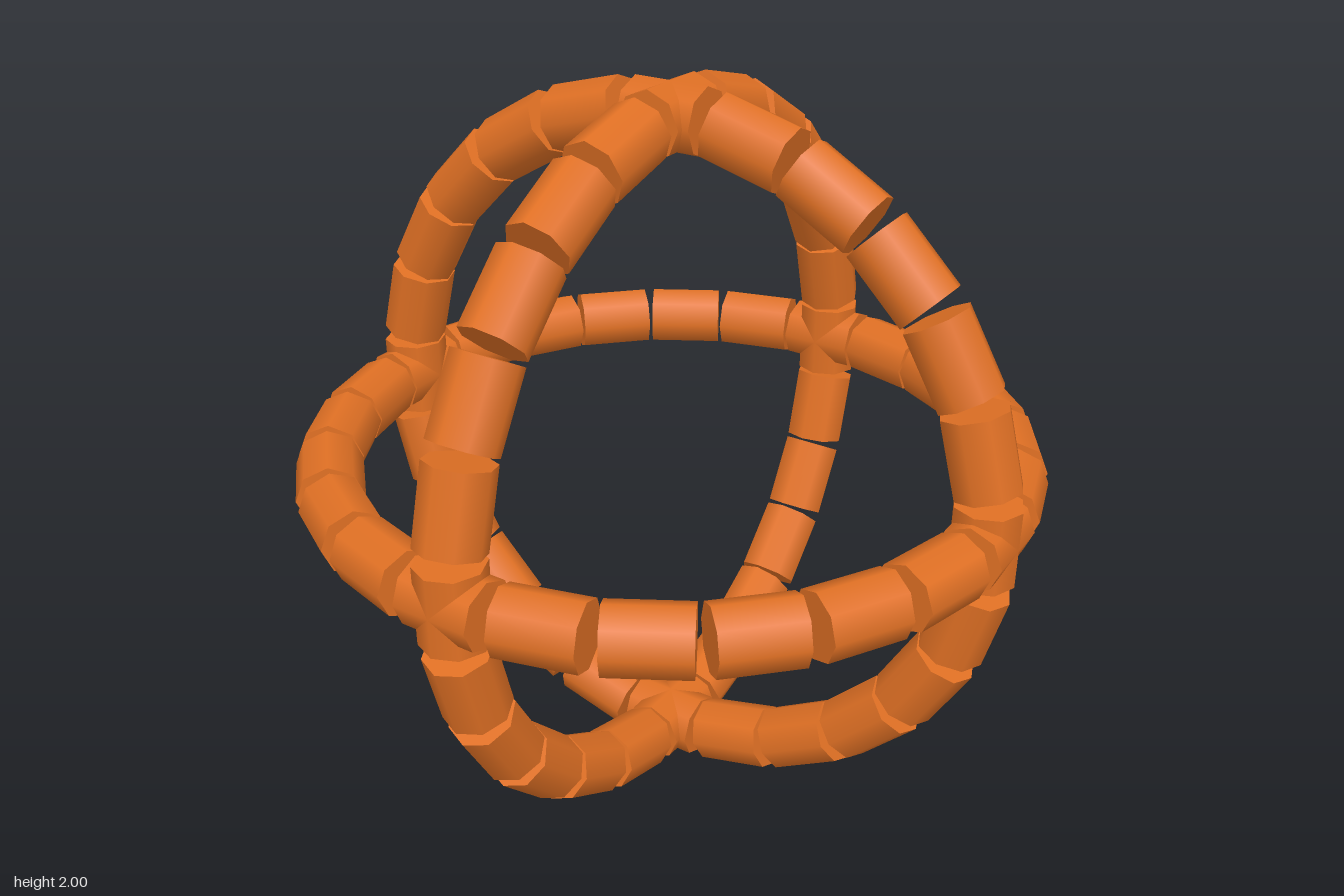
import * as THREE from 'three';

const SEGMENTS = 24;        // barrels per ring
const BARREL_RADIUS = 0.0885;
const BARREL_LENGTH = 0.21;
const RING_RADIUS = 1 - BARREL_RADIUS;

export function createModel() {
  const orange = new THREE.MeshStandardMaterial({ color: 0xe07024 });
  orange.name = 'orange';

  // Eight-sided barrel with smooth sides, shared by every ring
  const barrel = new THREE.CylinderGeometry(BARREL_RADIUS, BARREL_RADIUS, BARREL_LENGTH, 8);

  // Ring of separate barrels in the xy plane, each lying along the tangent
  function makeRing(name) {
    const ring = new THREE.Group();
    ring.name = name;
    for (let i = 0; i < SEGMENTS; i++) {
      const a = (i / SEGMENTS) * Math.PI * 2;
      const mesh = new THREE.Mesh(barrel, orange);
      mesh.name = 'barrel';
      mesh.position.set(Math.cos(a) * RING_RADIUS, Math.sin(a) * RING_RADIUS, 0);
      mesh.rotation.z = a;
      ring.add(mesh);
    }
    ring.position.y = 1;
    return ring;
  }

  // Three rings at right angles, crossing at the six poles
  const frontRing = makeRing('frontRing');
  const sideRing = makeRing('sideRing');
  sideRing.rotation.y = Math.PI / 2;
  const levelRing = makeRing('levelRing');
  levelRing.rotation.x = Math.PI / 2;

  const model = new THREE.Group();
  model.name = 'ringSphere';
  model.add(frontRing, sideRing, levelRing);
  return model;
}
